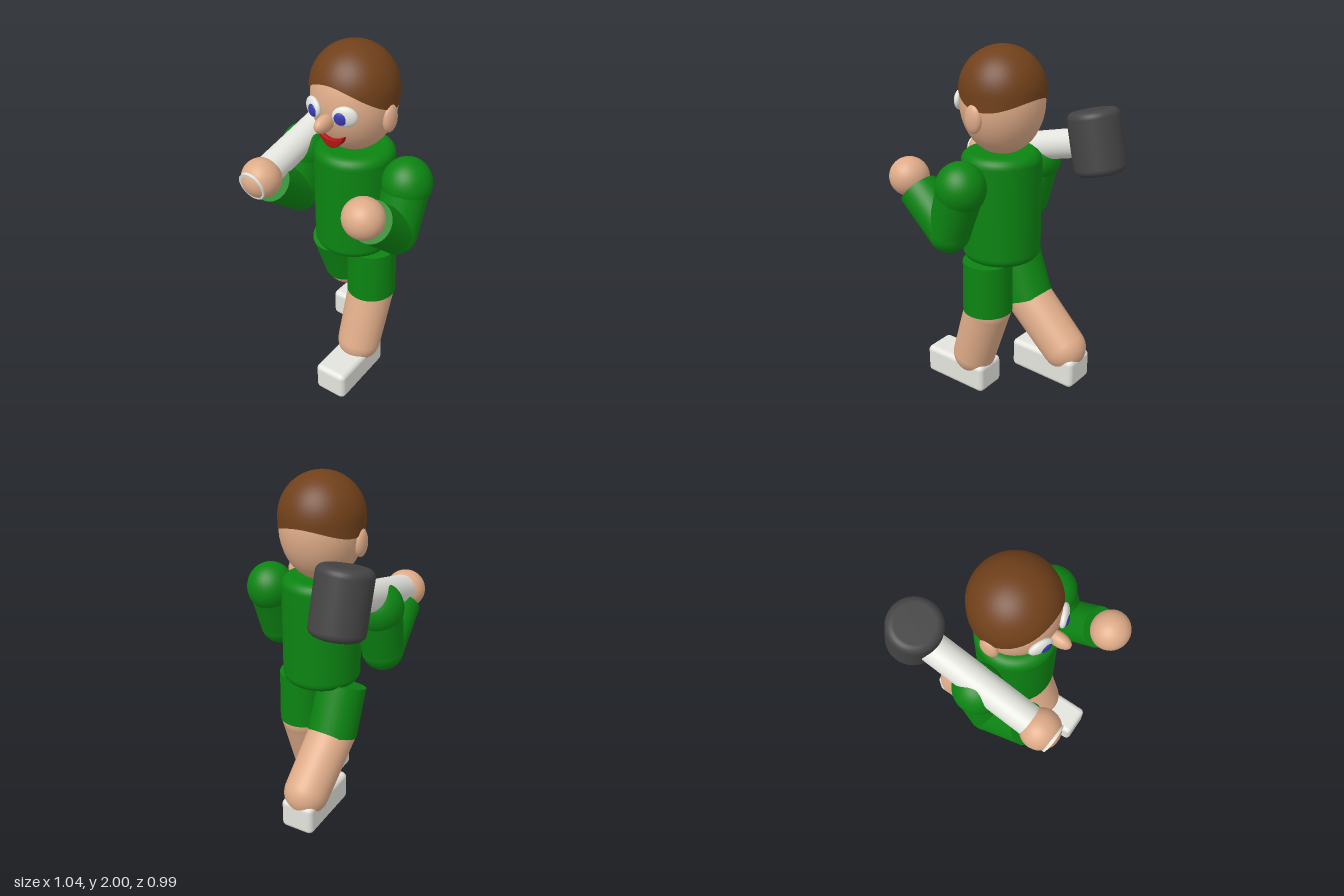
import * as THREE from 'three';
import { RoundedBoxGeometry } from 'three/addons/geometries/RoundedBoxGeometry.js';

const mat = (color, side = THREE.FrontSide) => new THREE.MeshStandardMaterial({ color, side });
const skin = mat(0xdeab88), green = mat(0x0c8412), white = mat(0xe4e4de), dark = mat(0x444444);
const brown = mat(0x70401a, THREE.DoubleSide), blue = mat(0x3a3ab4), red = mat(0xb01414);
const V = (p) => new THREE.Vector3(...p);
const UP = new THREE.Vector3(0, 1, 0);

function add(parent, name, geometry, material, pos = [0, 0, 0]) {
  const m = new THREE.Mesh(geometry, material);
  m.name = name;
  m.position.set(...pos);
  parent.add(m);
  return m;
}

function ball(parent, name, pos, [rx, ry, rz], material) {
  const m = add(parent, name, new THREE.SphereGeometry(1, 32, 20), material, pos);
  m.scale.set(rx, ry, rz);
  return m;
}

// Cylinder running from point a to point b
function rod(parent, name, a, b, ra, rb, material) {
  const d = V(b).sub(V(a));
  const m = add(parent, name, new THREE.CylinderGeometry(rb, ra, d.length(), 36), material);
  m.position.copy(V(a)).addScaledVector(d, 0.5);
  m.quaternion.setFromUnitVectors(UP, d.normalize());
  return m;
}

// Upright solid of revolution with rounded rims
function roundedCylinder(r, h, bevel) {
  const pts = [new THREE.Vector2(0, -h / 2)];
  for (const s of [-1, 1]) {
    for (let i = 0; i <= 6; i++) {
      const a = s < 0 ? -Math.PI / 2 + (i * Math.PI) / 12 : (i * Math.PI) / 12;
      pts.push(new THREE.Vector2(r - bevel + bevel * Math.cos(a), s * (h / 2 - bevel) + bevel * Math.sin(a)));
    }
  }
  pts.push(new THREE.Vector2(0, h / 2));
  return new THREE.LatheGeometry(pts, 48);
}

// Cap of hair: a dome whose lower rim rises at the forehead and dips at the ears
function hairGeometry() {
  const r = 0.23, cy = 1.77;
  const g = new THREE.SphereGeometry(1, 56, 24, 0, Math.PI * 2, 0, Math.PI / 2);
  const p = g.attributes.position, n = g.attributes.normal, uv = g.attributes.uv;
  for (let i = 0; i < p.count; i++) {
    const f = 1 - uv.getY(i);
    const t = Math.round(uv.getX(i) * 56) / 56 * Math.PI * 2;
    const rim = 1.7475 + 0.045 * Math.cos(t) + 0.0475 * Math.cos(2 * t);
    const end = rim > cy ? Math.acos((rim - cy) / r) : Math.PI / 2 + (cy - rim) / r;
    const s = f * end, a = Math.min(s, Math.PI / 2);
    const x = -Math.sin(a) * Math.cos(t), z = Math.sin(a) * Math.sin(t);
    const y = cy + r * Math.cos(a) - r * (s - a);
    p.setXYZ(i, r * x, y, r * z);
    n.setXYZ(i, x, Math.cos(a), z);
  }
  return g;
}

function buildHead(root) {
  const head = new THREE.Group();
  head.name = 'head';
  head.position.set(0.02, 0, 0.015);
  head.rotation.y = 0.125;
  root.add(head);
  ball(head, 'face', [0, 1.71, 0], [0.226, 0.28, 0.226], skin);
  add(head, 'hair', hairGeometry(), brown);
  ball(head, 'nose', [-0.25, 1.655, 0], [0.07, 0.045, 0.036], skin);
  for (const s of [-1, 1]) {
    ball(head, 'ear', [-0.01, 1.655, s * 0.222], [0.052, 0.075, 0.03], skin);
    const eye = new THREE.Group();
    eye.name = 'eye';
    eye.position.set(-0.212, 1.705, s * 0.096);
    eye.rotation.y = s * 0.43;
    head.add(eye);
    ball(eye, 'eyeWhite', [0, 0, 0], [0.025, 0.053, 0.064], white);
    ball(eye, 'pupil', [-0.013, -0.005, -s * 0.016], [0.016, 0.036, 0.036], blue);
  }
  // Crescent smile
  const smile = new THREE.Shape();
  smile.moveTo(-0.075, 0.03);
  smile.quadraticCurveTo(0, -0.1, 0.075, 0.03);
  smile.quadraticCurveTo(0, -0.03, -0.075, 0.03);
  const mouth = add(head, 'mouth', new THREE.ExtrudeGeometry(smile, {
    depth: 0.05, curveSegments: 16, bevelSize: 0.006, bevelThickness: 0.006, bevelSegments: 2,
  }), red, [-0.15, 1.545, 0]);
  mouth.rotation.y = -Math.PI / 2;
}

function buildArm(root, name, shoulder, elbow, hand) {
  const arm = new THREE.Group();
  arm.name = name;
  root.add(arm);
  ball(arm, 'shoulder', shoulder, [0.135, 0.14, 0.132], green);
  rod(arm, 'upperArm', shoulder, elbow, 0.125, 0.115, green);
  ball(arm, 'elbow', elbow, [0.116, 0.116, 0.116], green);
  const cuff = V(elbow).lerp(V(hand), 0.76).toArray();
  rod(arm, 'forearm', elbow, cuff, 0.114, 0.112, green);
  ball(arm, 'hand', hand, [0.107, 0.107, 0.11], skin);
}

function buildLeg(root, name, hip, knee, ankle, shoe, yaw) {
  const leg = new THREE.Group();
  leg.name = name;
  root.add(leg);
  rod(leg, 'shorts', knee, hip, 0.14, 0.138, green);
  ball(leg, 'knee', knee, [0.134, 0.134, 0.134], skin);
  rod(leg, 'shin', knee, ankle, 0.133, 0.126, skin);
  ball(leg, 'ankle', ankle, [0.126, 0.126, 0.126], skin);
  const s = add(leg, 'shoe', new RoundedBoxGeometry(0.42, 0.175, 0.195, 4, 0.03), white, shoe);
  s.rotation.y = yaw;
}

function buildHammer(root) {
  const hammer = new THREE.Group();
  hammer.name = 'hammer';
  root.add(hammer);
  const end = [-0.48, 1.285, -0.245], top = [0.35, 1.485, -0.355];
  rod(hammer, 'handle', end, top, 0.082, 0.082, white);
  const head = add(hammer, 'hammerHead', roundedCylinder(0.143, 0.345, 0.04), dark, [0.36, 1.487, -0.352]);
  head.rotation.z = 0.23;
}

export function createModel() {
  const root = new THREE.Group();
  root.name = 'walkingFigure';
  add(root, 'torso', roundedCylinder(0.218, 0.615, 0.055), green, [0.017, 1.143, 0.02]);
  buildHead(root);
  buildArm(root, 'leftArm', [0.057, 1.32, 0.347], [-0.03, 1.063, 0.358], [-0.315, 1.305, 0.387]);
  buildArm(root, 'rightArm', [-0.03, 1.32, -0.315], [-0.09, 1.063, -0.31], [-0.4, 1.303, -0.254]);
  buildLeg(root, 'leftLeg', [0.03, 0.845, 0.14], [0.03, 0.542, 0.142], [-0.078, 0.21, 0.15], [-0.17, 0.088, 0.158], 0.15);
  buildLeg(root, 'rightLeg', [0.0, 0.825, -0.11], [0.1, 0.555, -0.115], [0.368, 0.312, -0.138], [0.275, 0.207, -0.125], 0.12);
  buildHammer(root);
  return root;
}
